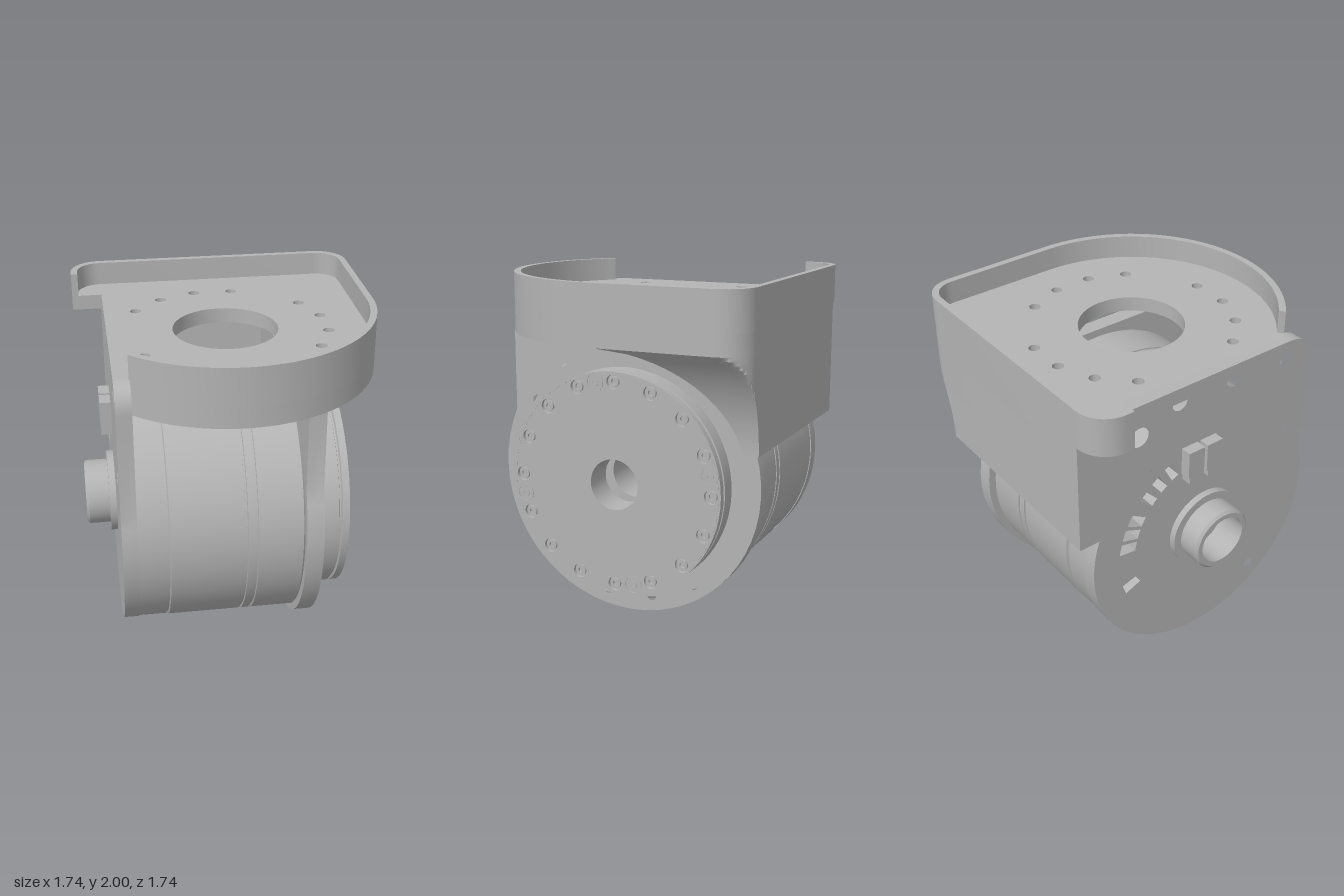
import * as THREE from 'three';
import { toCreasedNormals } from 'three/addons/utils/BufferGeometryUtils.js';

const PI = Math.PI, AXIS = 0.825;
const grey = new THREE.MeshStandardMaterial({ color: 0xb4b4b4 });
grey.name = 'machined grey';

export function createModel() {
  const model = new THREE.Group();
  const add = (name, geo, crease = 0.5) => {
    const mesh = new THREE.Mesh(toCreasedNormals(geo, crease), grey);
    mesh.name = name;
    model.add(mesh);
    return mesh;
  };
  // Hollow turned part on the motor axis; points are [radius, x]
  const turned = (name, bore, pts, y = AXIS, z = 0, seg = 64) => {
    const loop = [[bore, pts[0][1]], ...pts, [bore, pts[pts.length - 1][1]], [bore, pts[0][1]]];
    const g = new THREE.LatheGeometry(loop.map(p => new THREE.Vector2(...p)), seg);
    add(name, g.rotateZ(-PI / 2).translate(0, y, z));
  };
  const hole = (shape, u, v, r) => shape.holes.push(new THREE.Path().absarc(u, v, r, 0, 2 * PI, true));
  const extrude = (shape, depth) =>
    new THREE.ExtrudeGeometry(shape, { depth, bevelEnabled: false, curveSegments: 24 });
  // Shape drawn in (-z, y), thickened along x
  const sidePlate = (name, shape, x0, x1) =>
    add(name, extrude(shape, x1 - x0).rotateY(PI / 2).translate(x0, 0, 0));
  // Shape drawn in (x, -z), thickened along y
  const flatPlate = (name, shape, y0, y1) =>
    add(name, extrude(shape, y1 - y0).rotateX(-PI / 2).translate(0, y0, 0));
  const box = (name, x0, x1, y0, y1, z0, z1) =>
    add(name, new THREE.BoxGeometry(x1 - x0, y1 - y0, z1 - z0)
      .translate((x0 + x1) / 2, (y0 + y1) / 2, (z0 + z1) / 2));
  // n positions round the motor axis in (-z, y)
  const ring = (n, r, offset) => Array.from({ length: n }, (_, i) => {
    const a = offset + i * 2 * PI / n;
    return [r * Math.cos(a), AXIS + r * Math.sin(a)];
  });

  // Motor body with grooves
  const body = [[0.78, -0.6], [0.78, -0.435], [0.77, -0.435], [0.77, -0.425], [0.785, -0.42]];
  for (const g of [0.015, 0.075]) {
    body.push([0.785, g - 0.007], [0.772, g - 0.005], [0.772, g + 0.005], [0.785, g + 0.007]);
  }
  body.push([0.785, 0.34], [0.775, 0.35]);
  turned('motorBody', 0.15, body, AXIS, 0, 80);

  // Bolted front flange, squared on one side
  const flange = new THREE.Shape();
  flange.moveTo(0, 1.65);
  flange.absarc(0, AXIS, 0.825, PI / 2, -(PI + 0.429), true);
  flange.lineTo(-0.75, 1.65);
  const flangeFace = flange.clone();
  hole(flange, 0, AXIS, 0.15);
  hole(flangeFace, 0, AXIS, 0.15);
  for (const [u, y] of ring(16, 0.738, PI / 16)) {
    hole(flange, u, y, 0.028);
    hole(flangeFace, u, y, 0.048);
  }
  sidePlate('flange', flange, 0.35, 0.44);
  sidePlate('flangeFace', flangeFace, 0.44, 0.45);

  // Output disc
  turned('outputDisc', 0.15, [[0.62, 0.45], [0.62, 0.46], [0.645, 0.465], [0.658, 0.475],
    [0.658, 0.575], [0.64, 0.58], [0.64, 0.59], [0.658, 0.595], [0.658, 0.615]], AXIS, 0, 80);
  const face = new THREE.Shape().absarc(0, AXIS, 0.648, 0, 2 * PI, false);
  hole(face, 0, AXIS, 0.15);
  const bolts = ring(16, 0.6, 0);
  bolts.forEach(([u, y]) => hole(face, u, y, 0.042));
  sidePlate('outputFace', face, 0.61, 0.637);
  turned('outputRim', 0.648, [[0.658, 0.615], [0.658, 0.637]]);
  bolts.forEach(([u, y]) => turned('outputBolt', 0.016, [[0.031, 0.612], [0.031, 0.63]], y, -u, 16));
  ring(4, 0.6, PI / 2 + 0.196).forEach(([u, y]) => {
    turned('dowelRing', 0.046, [[0.054, 0.63], [0.054, 0.641]], y, -u, 24);
    turned('dowel', 0.012, [[0.024, 0.63], [0.024, 0.641]], y, -u, 16);
  });

  // Rear plate with bolt holes and connector openings
  const rear = new THREE.Shape();
  rear.moveTo(-0.75, 1.7);
  rear.quadraticCurveTo(-0.75, 1.86, -0.59, 1.86);
  rear.lineTo(0.865, 1.86);
  rear.lineTo(0.865, 1.08);
  rear.lineTo(0.742, 1.08);
  rear.absarc(0, AXIS, 0.785, 0.331, -(PI + 0.3), true);
  hole(rear, 0, AXIS, 0.15);
  const rearHoles = [[0.47, 1.66, 0.06], [0.2, 1.77, 0.05], [-0.18, 1.77, 0.05], [-0.58, 1.74, 0.05],
    [-0.6, 1.24, 0.035], [-0.4, 0.3, 0.035], [0.62, 0.46, 0.035], [0.42, 1.41, 0.035],
    [0.42, 0.45, 0.018], [-0.19, 0.23, 0.018]];
  rearHoles.forEach(h => hole(rear, ...h));
  // Slots follow an arc round the axis
  const slots = [[0.18, 0.06], [0.34, 0.06], [0.5, 0.06], [0.76, 0.05], [0.94, 0.05], [1.12, 0.05], [-0.34, 0.06]];
  for (const [a, w] of slots) {
    const p = new THREE.Path();
    p.absarc(0, AXIS, 0.61, a - w, a + w, false);
    p.absarc(0, AXIS, 0.5, a + w, a - w, true);
    p.closePath();
    rear.holes.push(p);
  }
  sidePlate('rearPlate', rear, -0.69, -0.6);
  for (const z of [-0.12, 0.01]) {
    box('connectorBlock', -0.755, -0.68, 1.28, 1.455, z - 0.055, z + 0.055);
    box('connectorLip', -0.755, -0.68, 1.24, 1.28, z - 0.045, z + 0.045);
  }

  // Hollow rear shaft
  turned('shaftCollar', 0.15, [[0.245, -0.73], [0.245, -0.68]]);
  turned('rearShaft', 0.15, [[0.18, -0.87], [0.195, -0.855], [0.195, -0.73]]);

  // Tray outline inset by d; the full one wraps round the rear corner
  const outline = (d, full) => {
    const pts = [];
    const arc = (cx, cy, r, a, b, n) => {
      for (let i = 0; i <= n; i++) {
        const t = a + (b - a) * i / n;
        pts.push(new THREE.Vector2(cx + r * Math.cos(t), cy + r * Math.sin(t)));
      }
    };
    arc(0, 0, 0.87 - d, -2.34, 0, 40);
    arc(0.69, 0.69, 0.18 - d, 0, PI / 2, 10);
    if (full) {
      arc(-0.69, 0.69, 0.18 - d, PI / 2, PI, 10);
      pts.push(new THREE.Vector2(-0.87 + d, 0.64));
    } else pts.push(new THREE.Vector2(-0.69, 0.87 - d));
    return pts;
  };
  const wall = full => new THREE.Shape([...outline(0, full), ...outline(0.04, full).reverse()]);
  flatPlate('trayRim', wall(true), 1.77, 2);
  flatPlate('traySkirt', wall(false), 1.65, 1.77);
  const floor = new THREE.Shape([...outline(0.01, true),
    new THREE.Vector2(-0.69, 0.64), new THREE.Vector2(-0.69, -0.58)]);
  hole(floor, 0, 0, 0.308);
  for (const deg of [11.25, 33.75, 78.75, 101.25, 123.75, 146.25]) {
    const a = deg * PI / 180;
    for (const s of [1, -1]) hole(floor, 0.6 * Math.cos(a), s * 0.6 * Math.sin(a), 0.033);
  }
  flatPlate('trayFloor', floor, 1.77, 1.86);

  // Back wall, and its thick end that sweeps up into the tray round the flange
  box('backWall', -0.69, 0.36, 1.08, 1.77, -0.87, -0.785);
  const rows = 24, cols = 12, pos = [], index = [], n = cols + 4;
  for (let j = 0; j <= rows; j++) {
    const y = 1.08 + 0.57 * j / rows;
    const zb = -Math.sqrt(Math.max(0, 0.825 ** 2 - (y - AXIS) ** 2));
    const xr = 1.43 - Math.sqrt(0.64 - (y - 1.08) ** 2);
    pos.push(0.35, y, zb, xr, y, zb);
    for (let i = 0; i <= cols; i++) {
      const a = PI / 2 * i / cols;
      pos.push(Math.min(xr, 0.69 + 0.18 * Math.cos(a)), y, Math.min(zb, -0.69 - 0.18 * Math.sin(a)));
    }
    pos.push(0.35, y, -0.87);
  }
  for (let j = 0; j < rows; j++) {
    for (let i = 0; i < n; i++) {
      const a = j * n + i, b = j * n + (i + 1) % n;
      index.push(a, b, b + n, a, b + n, a + n);
    }
  }
  const top = rows * n;
  for (let i = 1; i < n - 1; i++) index.push(0, i + 1, i, top, top + i, top + i + 1);
  const sweep = new THREE.BufferGeometry();
  sweep.setAttribute('position', new THREE.Float32BufferAttribute(pos, 3));
  sweep.setIndex(index);
  sweep.computeVertexNormals();
  add('backBracket', sweep);

  return model;
}
